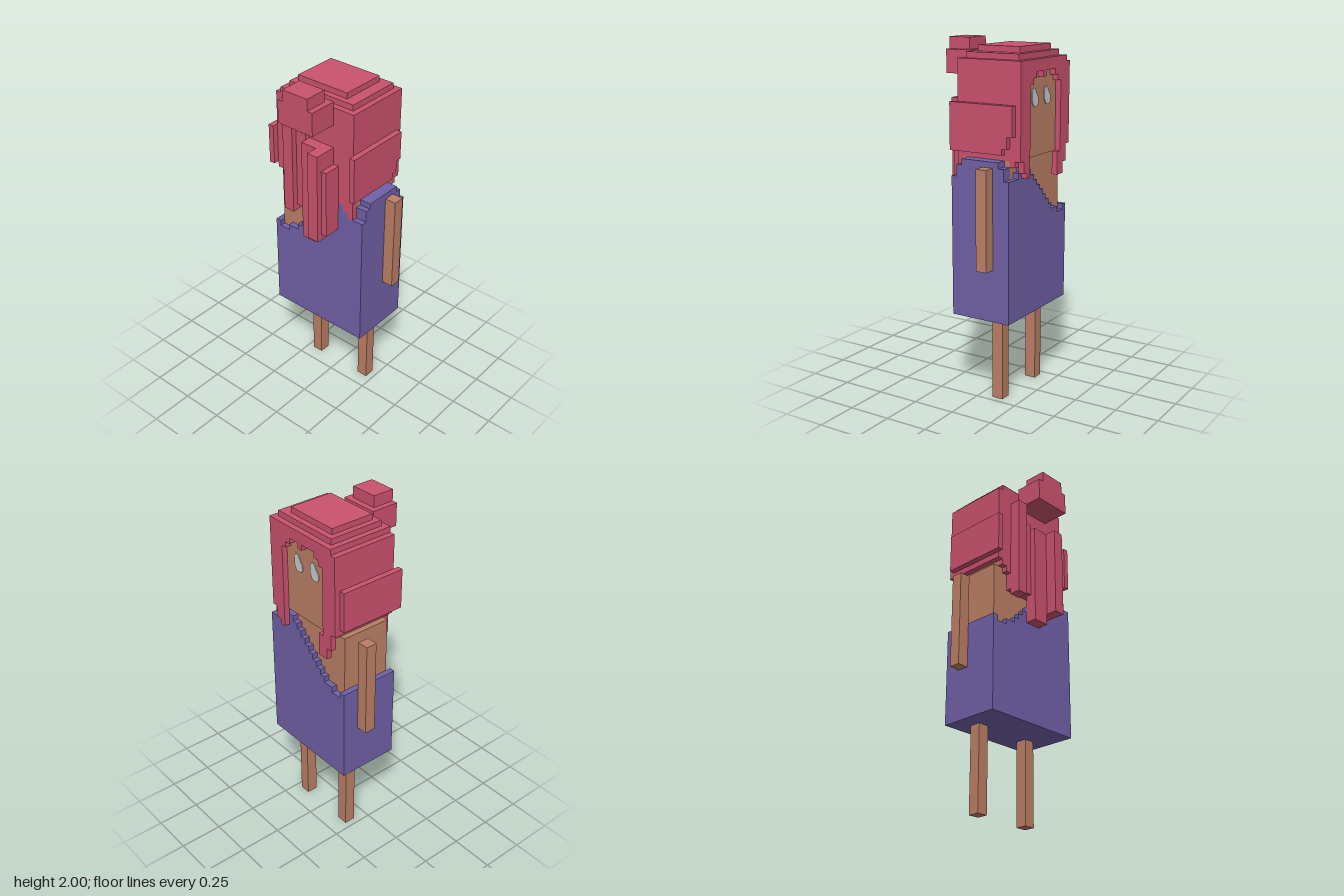
import * as THREE from 'three';
import { mergeGeometries } from 'three/addons/utils/BufferGeometryUtils.js';

// Block grid: 17 wide (x), 61 high (y), 23 deep (z)
const V = 2 / 61;

const colour = (name, hex) => {
  const m = new THREE.MeshStandardMaterial({ color: hex });
  m.name = name;
  return m;
};

// Box from grid corner to grid corner
function block([x0, x1, y0, y1, z0, z1]) {
  const g = new THREE.BoxGeometry((x1 - x0) * V, (y1 - y0) * V, (z1 - z0) * V);
  g.translate(((x0 + x1) / 2 - 8.5) * V, ((y0 + y1) / 2) * V, ((z0 + z1) / 2 - 11.5) * V);
  return g;
}

export function createModel() {
  const model = new THREE.Group();
  model.name = 'blockWoman';
  const hair = colour('rose hair', 0xca526d);
  const skin = colour('tan skin', 0xbb7f65);
  const cloth = colour('purple dress', 0x7060a6);
  const white = colour('eye white', 0xcccccc);

  const add = (name, material, boxes) => {
    const mesh = new THREE.Mesh(mergeGeometries(boxes.map(block)), material);
    mesh.name = name;
    model.add(mesh);
  };

  // Limbs
  add('rightLeg', skin, [[11, 13, 0, 15, 16, 18]]);
  add('leftLeg', skin, [[11, 13, 0, 15, 5, 7]]);
  add('rightArm', skin, [[11, 13, 24, 41, 21, 23]]);
  add('leftArm', skin, [[11, 13, 24, 41, 0, 2]]);

  // Torso and head
  add('torso', skin, [[6, 15, 31, 42, 3, 19]]);
  add('head', skin, [[6, 16, 42, 56, 4, 18]]);

  // Dress: solid skirt, with a one-shoulder neckline stepping down across it
  add('skirt', cloth, [[5, 16, 15, 31, 2, 21]]);
  const neckline = (k) => {
    if (k === 2) return 32;
    if (k < 5) return 31;
    if (k < 7) return 32;
    if (k < 16) return 26 + k;
    return [41, 40, 39, 39, 39][k - 16];
  };
  const bodice = [[5, 16, 31, 32, 2, 3]];
  for (let k = 5; k < 21; k++) {
    bodice.push([15, 16, 31, neckline(k), k, k + 1], [5, 6, 31, neckline(k), k, k + 1]);
  }
  add('bodice', cloth, bodice);
  add('shoulder', cloth, [
    [5, 16, 31, 39, 20, 21], [6, 15, 39, 41, 19, 21], [7, 14, 41, 42, 19, 21],
  ]);

  // Stepped crown of hair
  add('crown', hair, [
    [5, 17, 56, 57, 3, 19], [5, 17, 57, 58, 4, 19],
    [6, 16, 58, 59, 5, 18], [7, 15, 59, 60, 6, 16],
  ]);

  // Fringe and front locks framing the face
  const fringe = [[16, 17, 38, 42, 6, 7]];
  const hem = [43, 40, 38, 54, 55, 56, 56, 56, 55, 56, 56, 55, 54, 39, 40, 42];
  hem.forEach((y, n) => {
    if (y < 56) fringe.push([16, 17, y, 56, n + 3, n + 4]);
  });
  add('fringe', hair, fringe);

  // Hair on both sides of the head
  const sides = [[5, 16, 43, 56, 3, 4], [5, 6, 39, 56, 18, 19], [6, 15, 42, 56, 18, 19], [15, 16, 41, 56, 18, 19]];
  add('sideHair', hair, sides);
  add('sideFlaps', hair, [
    [4, 14, 43, 51, 19, 20], [14, 15, 44, 51, 19, 20], [15, 16, 46, 51, 19, 20],
    [4, 16, 44, 51, 2, 3],
  ]);

  // Hair down the back, its hem meeting the dress
  const back = [];
  for (let k = 4; k < 18; k++) {
    const bottom = Math.max(k < 6 ? 46 - k : 38, neckline(k));
    back.push([5, 6, bottom, 56, k, k + 1]);
  }
  add('backHair', hair, back);
  add('backLocks', hair, [
    [3, 5, 37, 55, 6, 8], [4, 5, 38, 52, 8, 10], [3, 5, 33, 51, 10, 13],
    [1, 5, 35, 51, 13, 15], [2, 5, 36, 48, 13, 16],
  ]);
  add('bun', hair, [[0, 5, 55, 59, 8, 15], [0, 4, 59, 61, 9, 14]]);

  // Eyes: thin plates on the face
  const outline = [[0, 0.45], [0.35, 0], [1, 0], [1.7, 0.1], [2, 0.5], [2, 1.4],
    [1.4, 2.2], [0.9, 3.05], [0.3, 3], [0, 2.5]];
  outline[0] = [0, 1];
  outline[1] = [0.45, 0.2];
  const shape = new THREE.Shape(outline.map(([a, b]) => new THREE.Vector2(a * V, b * V)));
  const eyeGeometry = new THREE.ExtrudeGeometry(shape, { depth: 0.005, bevelEnabled: false });
  eyeGeometry.rotateY(Math.PI / 2);
  [['rightEye', 14], ['leftEye', 10]].forEach(([name, k]) => {
    const eye = new THREE.Mesh(eyeGeometry, white);
    eye.name = name;
    eye.position.set(7.5 * V, 50.2 * V, (k - 11.5) * V);
    model.add(eye);
  });

  return model;
}
